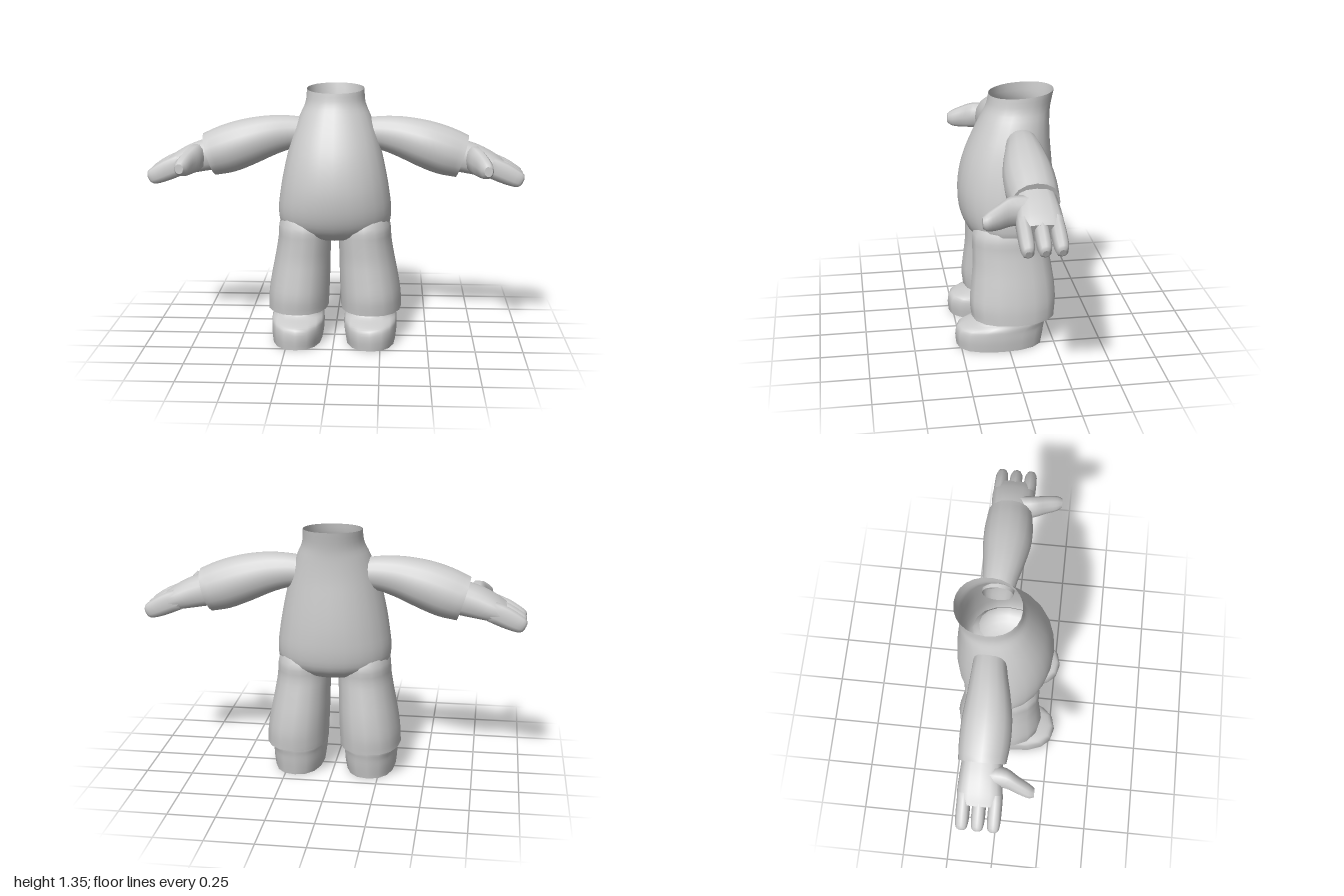
import * as THREE from 'three';

const V = (x, y, z) => new THREE.Vector3(x, y, z);

// Smooth skin through cross-sections { c: centre, u, v: half-axes }, growing along u x v.
function loft(sections, { sides = 16, steps = 3, power = 2, capStart = false, capEnd = false } = {}) {
  const curve = key => new THREE.CatmullRomCurve3(sections.map(s => s[key]), false, 'catmullrom', 0.5);
  const [C, U, W] = ['c', 'u', 'v'].map(curve);
  const rows = steps * (sections.length - 1);
  const pos = [], index = [];
  const bend = n => Math.sign(n) * Math.abs(n) ** (2 / power);
  const ring = t => {
    const c = C.getPoint(t), u = U.getPoint(t), v = W.getPoint(t);
    for (let i = 0; i < sides; i++) {
      const a = (i / sides) * Math.PI * 2;
      pos.push(...c.clone().addScaledVector(u, bend(Math.cos(a))).addScaledVector(v, bend(Math.sin(a))));
    }
    return c;
  };
  for (let r = 0; r <= rows; r++) ring(r / rows);
  for (let r = 0; r < rows; r++) {
    for (let i = 0; i < sides; i++) {
      const a = r * sides + i, b = r * sides + (i + 1) % sides;
      index.push(a, b, b + sides, a, b + sides, a + sides);
    }
  }
  // Flat ends have their own ring so their edge stays sharp
  const cap = (t, flip) => {
    const base = pos.length / 3;
    const c = ring(t);
    pos.push(c.x, c.y, c.z);
    for (let i = 0; i < sides; i++) {
      const a = base + i, b = base + (i + 1) % sides;
      index.push(base + sides, flip ? b : a, flip ? a : b);
    }
  };
  if (capStart) cap(0, true);
  if (capEnd) cap(1, false);
  const g = new THREE.BufferGeometry();
  g.setAttribute('position', new THREE.Float32BufferAttribute(pos, 3));
  g.setIndex(index);
  g.computeVertexNormals();
  return g;
}

// Horizontal section from its extents
const level = ([y, x0, x1, zFront, zBack, tilt = 0]) => ({
  c: V((x0 + x1) / 2, y, (zFront + zBack) / 2),
  u: V((x1 - x0) / 2, 0, 0),
  v: V(0, tilt, -(zFront - zBack) / 2),
});

// Upright section across an arm, leaning by a degrees
const across = ([x, y, z, ry, rz, a]) => {
  const r = THREE.MathUtils.degToRad(a);
  return { c: V(x, y, z), u: V(-Math.sin(r) * ry, Math.cos(r) * ry, 0), v: V(0, 0, rz) };
};

export function createModel() {
  const model = new THREE.Group();
  model.name = 'headlessFigure';
  const grey = new THREE.MeshStandardMaterial({ color: 0xcccccc, side: THREE.DoubleSide });
  grey.name = 'plainGrey';

  const add = (parent, name, geometry) => {
    const mesh = new THREE.Mesh(geometry, grey);
    mesh.name = name;
    parent.add(mesh);
  };

  // Torso, open at the neck: y, half width, front z, back z, tilt
  const torso = [
    [0.545, 0.07, 0.06, -0.12],
    [0.57, 0.2, 0.14, -0.2],
    [0.62, 0.285, 0.19, -0.25],
    [0.7, 0.302, 0.222, -0.27],
    [0.8, 0.292, 0.234, -0.274],
    [0.9, 0.275, 0.225, -0.27],
    [1.0, 0.253, 0.2, -0.262],
    [1.1, 0.226, 0.16, -0.253],
    [1.2, 0.19, 0.112, -0.25],
    [1.27, 0.16, 0.078, -0.255],
    [1.342, 0.153, 0.066, -0.272, 0.011],
  ].map(([y, w, f, b, t]) => level([y, -w, w, f, b, t]));
  add(model, 'torso', loft(torso, { sides: 24, power: 2.1, capStart: true }));

  for (const side of [1, -1]) {
    const half = new THREE.Group();
    half.name = side > 0 ? 'leftLimbs' : 'rightLimbs';
    half.scale.x = side;
    model.add(half);

    // Trouser leg: y, inner x, outer x, front z, back z
    add(half, 'trouserLeg', loft([
      [0.165, 0.034, 0.362, 0.188, -0.258],
      [0.25, 0.03, 0.358, 0.197, -0.264],
      [0.35, 0.026, 0.342, 0.188, -0.256],
      [0.45, 0.024, 0.322, 0.178, -0.24],
      [0.55, 0.02, 0.305, 0.177, -0.224],
      [0.63, 0.02, 0.298, 0.174, -0.225],
      [0.72, 0.05, 0.26, 0.13, -0.18],
    ].map(level), { power: 2.2, capStart: true }));

    // Shoe with a flat sole and low rounded toe
    add(half, 'shoe', loft([
      [0, 0.065, 0.33, 0.272, -0.19],
      [0.06, 0.055, 0.337, 0.278, -0.2],
      [0.105, 0.053, 0.338, 0.268, -0.206],
      [0.125, 0.055, 0.337, 0.23, -0.209],
      [0.145, 0.06, 0.333, 0.165, -0.212],
      [0.18, 0.07, 0.325, 0.14, -0.215],
    ].map(level), { power: 2.3, capStart: true }));

    // Sleeve: x, y, z, half height, half depth, lean
    add(half, 'sleeve', loft([
      [0.17, 1.11, -0.078, 0.08, 0.08, 0],
      [0.25, 1.107, -0.074, 0.092, 0.09, -3],
      [0.35, 1.09, -0.066, 0.109, 0.106, -9],
      [0.47, 1.055, -0.062, 0.126, 0.124, -14],
      [0.58, 1.017, -0.063, 0.13, 0.127, -17],
      [0.675, 0.987, -0.066, 0.118, 0.119, -17],
    ].map(across), { power: 2.1, capEnd: true }));

    // Palm
    add(half, 'palm', loft([
      [0.65, 0.995, -0.065, 0.088, 0.1, -17],
      [0.74, 0.972, -0.065, 0.08, 0.106, -20],
      [0.82, 0.945, -0.063, 0.066, 0.112, -23],
      [0.875, 0.922, -0.062, 0.052, 0.108, -24],
    ].map(across), { power: 2.6, capEnd: true }));

    // Three fingers
    for (const z of [0.019, -0.06, -0.138]) {
      add(half, 'finger', loft([
        [0.82, 0.944, z, 0.056, 0.034, -22],
        [0.89, 0.915, z, 0.056, 0.035, -23],
        [0.95, 0.887, z, 0.048, 0.034, -25],
        [0.982, 0.873, z, 0.038, 0.028, -25],
        [0.993, 0.868, z, 0.02, 0.016, -25],
      ].map(across), { sides: 10, steps: 2, power: 2.4, capEnd: true }));
    }

    // Thumb reaching forward: x, y, z, half width, half height
    add(half, 'thumb', loft([
      [0.735, 0.98, -0.02, 0.055, 0.072],
      [0.745, 0.982, 0.06, 0.048, 0.072],
      [0.77, 0.968, 0.12, 0.041, 0.062],
      [0.79, 0.955, 0.175, 0.036, 0.046],
      [0.797, 0.953, 0.203, 0.022, 0.026],
    ].map(([x, y, z, rx, ry]) => ({ c: V(x, y, z), u: V(rx, 0, 0), v: V(0, ry, 0) })),
    { sides: 10, power: 2.2, capEnd: true }));
  }
  return model;
}
